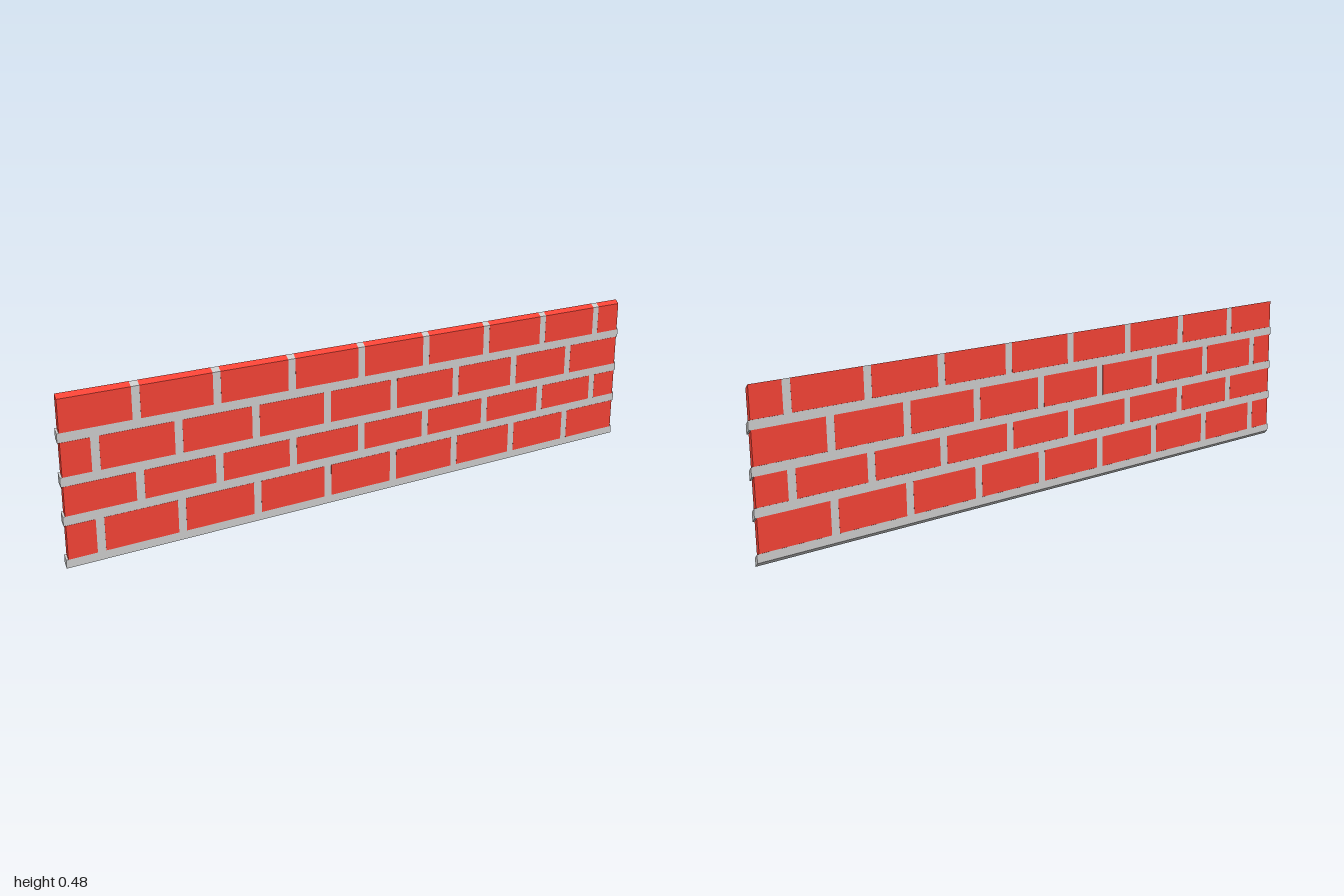
import * as THREE from 'three';

const HALF = 1;          // half length of the wall
const END = 0.994;       // bricks stop just short of the mortar beds
const PITCH = 0.2385;    // brick length plus joint
const JOINT = 0.024;     // width of an upright joint

const red = new THREE.MeshStandardMaterial({ color: 0xf44336, flatShading: true });
const grey = new THREE.MeshStandardMaterial({ color: 0xcccccc, flatShading: true });

// Thin block spanning x0..x1, y0..y1, sheared to follow the leaning wall
function slab(name, x0, x1, y0, y1, depth, material) {
  const geo = new THREE.BoxGeometry(x1 - x0, y1 - y0, depth);
  geo.translate((x0 + x1) / 2, (y0 + y1) / 2, 0);
  const p = geo.attributes.position;
  for (let i = 0; i < p.count; i++) {
    const x = p.getX(i), y = p.getY(i), z = p.getZ(i);
    // the wall leans forward, edges slope down to the front, courses dip slightly to +x
    p.setXYZ(i, x, y - z - 0.0025 * x, z - 0.002 + 0.0138 * y);
  }
  geo.computeVertexNormals();
  const mesh = new THREE.Mesh(geo, material);
  mesh.name = name;
  return mesh;
}

export function createModel() {
  const wall = new THREE.Group();
  wall.name = 'brickWall';

  // Mortar beds, bottom to top: [lower edge, upper edge]
  const beds = [[0.0085, 0.0325], [0.128, 0.154], [0.236, 0.262], [0.356, 0.382]];
  const top = 0.4725;

  beds.forEach(([low, high], row) => {
    wall.add(slab('mortarBed', -HALF, HALF, low, high, 0.0118, grey));

    // Brick course above the bed, in running bond
    const course = new THREE.Group();
    course.name = 'brickCourse';
    const next = row < 3 ? beds[row + 1][0] : top;
    const first = row % 2 ? -0.78 : -0.9;
    let start = -END;
    for (let k = 0; k < 8; k++) {
      const x = first + k * PITCH;
      course.add(slab('brick', start, x - JOINT / 2, high, next, 0.0122, red));
      course.add(slab('uprightJoint', x - JOINT / 2, x + JOINT / 2, high, next, 0.0118, grey));
      start = x + JOINT / 2;
    }
    course.add(slab('brick', start, END, high, next, 0.0122, red));
    wall.add(course);
  });

  return wall;
}
